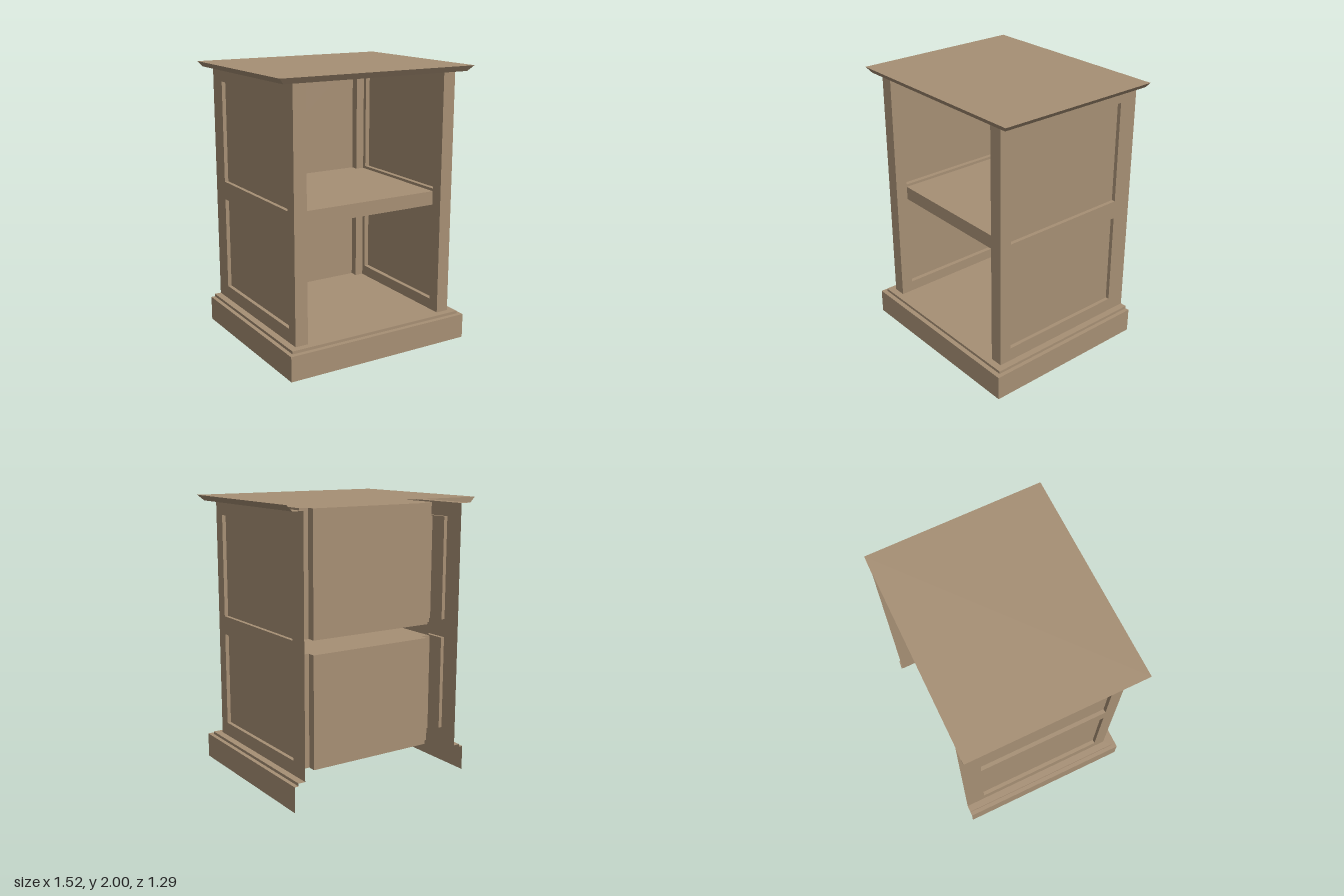
import * as THREE from 'three';

const BACK = -0.645; // open rear edge of the outer shell
const IN = 0.545;    // half width of the inside

// Flat-shaded sheet through rows of equally many points
function loft(rows) {
  const pos = [];
  for (let i = 0; i < rows.length - 1; i++) {
    for (let j = 0; j < rows[i].length - 1; j++) {
      const a = rows[i][j], b = rows[i][j + 1], c = rows[i + 1][j + 1], d = rows[i + 1][j];
      pos.push(...a, ...b, ...c, ...a, ...c, ...d);
    }
  }
  const g = new THREE.BufferGeometry();
  g.setAttribute('position', new THREE.Float32BufferAttribute(pos, 3));
  g.computeVertexNormals();
  return g;
}

// Moulding running round the left, front and right; profile of [half width, front z, y]
const moulding = (profile) => loft(profile.map(([w, z, y]) =>
  [[w, y, BACK], [w, y, z], [-w, y, z], [-w, y, BACK]]));

const rectPoints = (z0, z1, y0, y1) => [[z0, y0], [z1, y0], [z1, y1], [z0, y1]];

export function createModel() {
  const group = new THREE.Group();
  const wood = new THREE.MeshStandardMaterial({ color: 0xa68f74, side: THREE.DoubleSide });
  wood.name = 'light brown wood';

  const add = (name, geometry, parent = group) => {
    const mesh = new THREE.Mesh(geometry, wood);
    mesh.name = name;
    parent.add(mesh);
    return mesh;
  };

  // Upright sheet at x with panels sunk to panelX
  function panelledWall(name, x, panelX, z0, z1, y0, y1, panels, parent) {
    const wall = new THREE.Group();
    wall.name = name;
    parent.add(wall);
    const shape = new THREE.Shape(rectPoints(z0, z1, y0, y1).map(p => new THREE.Vector2(...p)));
    for (const p of panels) {
      const corners = rectPoints(...p);
      shape.holes.push(new THREE.Path(corners.map(c => new THREE.Vector2(...c))));
      const ring = [...corners, corners[0]];
      add('panelEdge', loft([x, panelX].map(px => ring.map(([z, y]) => [px, y, z]))), wall);
      add('panel', loft([[[panelX, p[2], p[0]], [panelX, p[2], p[1]]],
        [[panelX, p[3], p[0]], [panelX, p[3], p[1]]]]), wall);
    }
    const frame = new THREE.ShapeGeometry(shape);
    frame.rotateY(-Math.PI / 2); // shape x becomes z
    frame.translate(x, 0, 0);
    add('frame', frame, wall);
  }

  // Stepped plinth
  add('plinth', moulding([[0.72, 0.645, 0], [0.72, 0.645, 0.18], [0.69, 0.61, 0.18],
    [0.69, 0.61, 0.2], [0.64, 0.56, 0.2]]));

  // Top with bevelled front and sides
  add('topEdge', moulding([[0.64, 0.56, 1.96], [0.72, 0.59, 1.96], [0.76, 0.62, 2]]));
  add('top', loft([[[-0.76, 2, 0.62], [0.76, 2, 0.62]], [[-0.76, 2, BACK], [0.76, 2, BACK]]]));

  // Side walls, panelled outside and inside, with front stiles
  for (const s of [1, -1]) {
    const side = new THREE.Group();
    side.name = s > 0 ? 'leftSide' : 'rightSide';
    group.add(side);
    panelledWall('outerWall', s * 0.64, s * 0.612, BACK, 0.56, 0.2, 1.96,
      [[-0.5, 0.47, 0.3, 0.985], [-0.5, 0.47, 1.12, 1.86]], side);
    panelledWall('innerWall', s * IN, s * 0.58, -0.44, 0.56, 0.2, 1.96,
      [[-0.41, 0.47, 0.28, 0.985], [-0.41, 0.47, 1.12, 1.86]], side);
    add('frontStile', loft([0.2, 1.96].map(y => [[s * IN, y, 0.56], [s * 0.64, y, 0.56]])), side);
  }

  // Plan line of the back: narrow stiles and a panel set further back
  const backLine = [[-IN, -0.44], [-0.48, -0.44], [-0.48, -0.5], [0.48, -0.5], [0.48, -0.44], [IN, -0.44]];
  const backPanel = (y0, y1) => loft([y0, y1].map(y => backLine.map(([x, z]) => [x, y, z])));
  const board = (y, front) => loft([backLine.map(([x]) => [x, y, front]),
    backLine.map(([x, z]) => [x, y, z])]);

  add('lowerBack', backPanel(0.2, 1.0));
  add('upperBack', backPanel(1.1, 1.96));

  // Horizontal boards
  add('floor', board(0.2, 0.56));
  add('ceiling', board(1.96, 0.56));
  add('shelfUnderside', board(1.0, 0.47));
  add('shelfTop', board(1.1, 0.47));
  add('shelfFront', loft([1.0, 1.1].map(y => [[-IN, y, 0.47], [IN, y, 0.47]])));

  return group;
}
